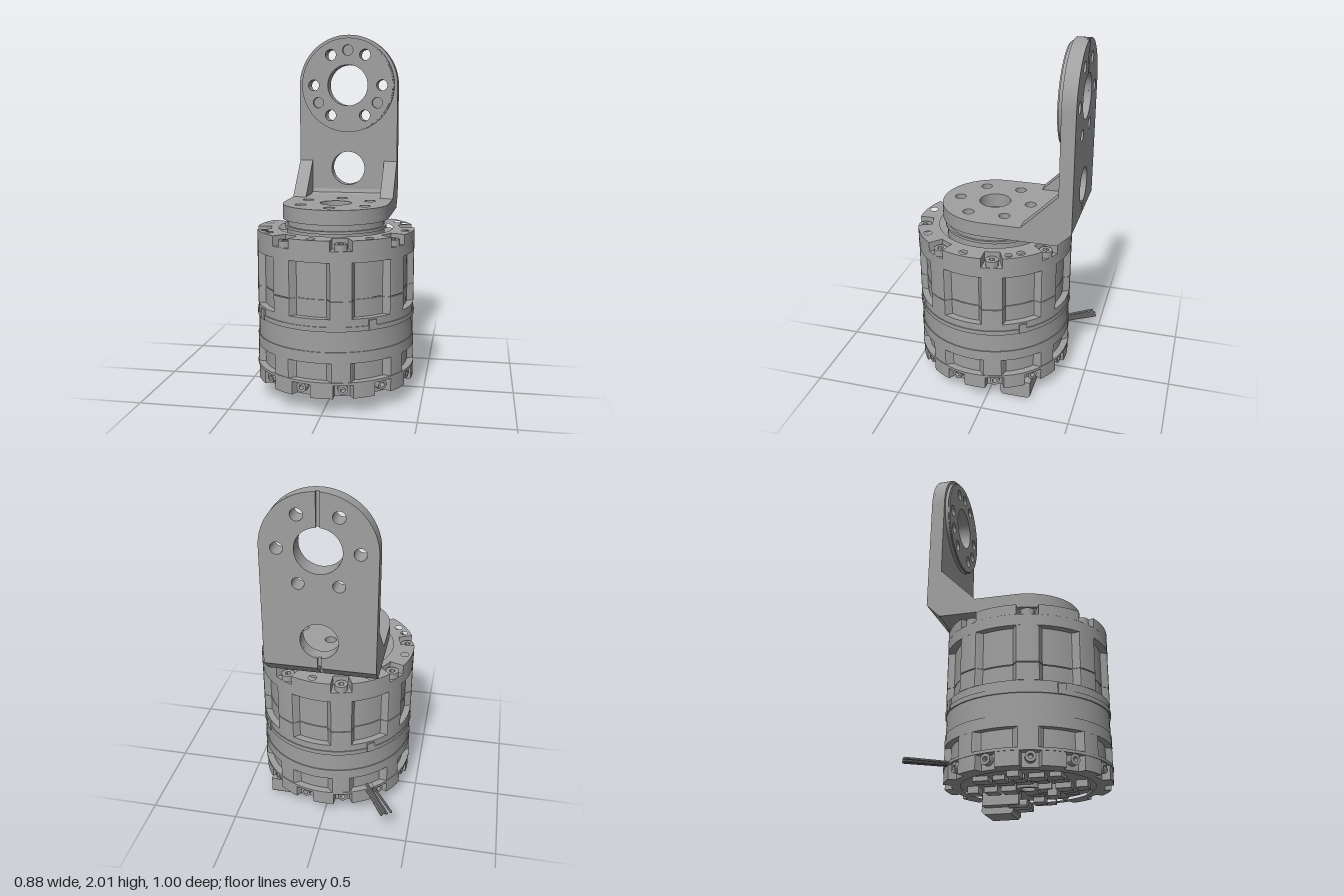
import * as THREE from 'three';
import { toCreasedNormals } from 'three/addons/utils/BufferGeometryUtils.js';

const metal = new THREE.MeshStandardMaterial({ color: 0xa0a0a0 });
metal.name = 'grey metal';

const D = Math.PI / 180;
const smooth = THREE.MathUtils.smoothstep;

function add(parent, name, geo) {
  const m = new THREE.Mesh(toCreasedNormals(geo, 0.5), metal);
  m.name = name;
  parent.add(m);
  return m;
}
const extrude = (shape, depth) =>
  new THREE.ExtrudeGeometry(shape, { depth, bevelEnabled: false, curveSegments: 24 });
// Horizontal slab: shape (x, -z) between two heights
const slab = (shape, y0, y1) => extrude(shape, y1 - y0).rotateX(-Math.PI / 2).translate(0, y0, 0);
// Side profile of [z, y] points, extruded from x0 to x1
const sideProfile = (pts, x0, x1) =>
  extrude(new THREE.Shape(pts.map(p => new THREE.Vector2(...p))), x1 - x0)
    .rotateY(-Math.PI / 2).translate(x1, 0, 0);

function cut(shape, x, y, r) {
  shape.holes.push(new THREE.Path().absarc(x, y, r, 0, Math.PI * 2, true));
  return shape;
}
function cutRing(shape, n, first, R, r, cx = 0, cy = 0) {
  for (let i = 0; i < n; i++) {
    const a = (first + i * 360 / n) * D;
    cut(shape, cx + R * Math.cos(a), cy - R * Math.sin(a), r);
  }
  return shape;
}
function disc(r, hole) {
  const s = new THREE.Shape().absarc(0, 0, r, 0, Math.PI * 2);
  return hole ? cut(s, 0, 0, hole) : s;
}
// Outline whose radius depends on the angle in degrees
function polar(radius, hole) {
  const pts = [];
  for (let a = 0; a < 360; a += 1) {
    const r = radius(a);
    pts.push(new THREE.Vector2(r * Math.cos(a * D), -r * Math.sin(a * D)));
  }
  return cut(new THREE.Shape(pts), 0, 0, hole);
}
// Angular distance to the nearest of evenly spaced directions
function away(a, first, step) {
  const t = (((a - first) % step) + step) % step;
  return Math.min(t, step - t);
}

function buildMotor() {
  const g = new THREE.Group();
  g.name = 'motor';
  g.position.z = 0.055;
  const BORE = 0.038, PANEL = 9, SCREW = 31.4;
  const panels = (depth, half) => a =>
    0.437 - depth * (1 - smooth(away(a, PANEL, 45), half - 2, half + 2));

  // Stacked housing sections
  const bay = panels(0.04, 13.5);
  add(g, 'lowerHousing', slab(polar(panels(0.035, 14), BORE), 0.17, 0.28));
  add(g, 'lowerBand', slab(disc(0.438, BORE), 0.28, 0.34));
  add(g, 'middleBand', slab(disc(0.433, BORE), 0.34, 0.45));
  add(g, 'ridgeBand', slab(disc(0.44, BORE), 0.45, 0.475));
  add(g, 'upperBand', slab(disc(0.435, BORE), 0.475, 0.515));
  add(g, 'ribbedHousingLower', slab(polar(bay, BORE), 0.515, 0.608));
  add(g, 'housingSeam', slab(polar(a => bay(a) - 0.006, BORE), 0.608, 0.613));
  add(g, 'ribbedHousingUpper', slab(polar(bay, BORE), 0.613, 0.81));
  add(g, 'topFlange', slab(disc(0.438, BORE), 0.81, 0.87));

  // Top ring with open screw pockets and drilled holes
  const top = polar(a => away(a, SCREW, 45) < 7 ? 0.358 : 0.438, 0.318);
  cutRing(top, 8, PANEL, 0.398, 0.023);
  cutRing(top, 2, 154, 0.402, 0.02);
  add(g, 'topRing', slab(top, 0.87, 0.925));

  for (let i = 0; i < 8; i++) {
    const a = (SCREW + i * 45) * D;
    const head = new THREE.Shape().absarc(0, 0, 0.035, 0, Math.PI * 2);
    const hex = [];
    for (let k = 0; k < 6; k++) hex.push(new THREE.Vector2(0.017 * Math.cos(k * 60 * D), 0.017 * Math.sin(k * 60 * D)));
    head.holes.push(new THREE.Path(hex));
    add(g, 'topScrew', slab(head, 0.87, 0.905)).position.set(0.402 * Math.cos(a), 0, 0.402 * Math.sin(a));
  }

  // Small catches on the ridge
  for (let i = 0; i < 4; i++) {
    const a = (PANEL + 45 + i * 90) * D;
    const m = add(g, 'catch', new THREE.BoxGeometry(0.045, 0.055, 0.02));
    m.position.set(0.433 * Math.cos(a), 0.478, 0.433 * Math.sin(a));
    m.rotation.y = Math.PI / 2 - a;
  }

  // Rotating output hub
  add(g, 'hubBase', slab(disc(0.272, BORE), 0.87, 0.93));
  add(g, 'hubRing', slab(disc(0.282, 0.2), 0.93, 0.945));
  add(g, 'hubTop', slab(cutRing(disc(0.27, 0.08), 6, 38, 0.203, 0.028), 0.93, 0.98));
  for (let i = 0; i < 6; i++) {
    const a = i * 60 * D;
    add(g, 'hubScrew', new THREE.CylinderGeometry(0.016, 0.016, 0.025, 16))
      .position.set(0.06 * Math.cos(a), 0.9425, 0.06 * Math.sin(a));
  }

  // Bottom ring: twelve tabs with radial screws between them
  add(g, 'bottomTabs', slab(polar(a => away(a, 0, 30) < 8.5 ? 0.437 : 0.395, 0.35), 0.09, 0.17));
  add(g, 'bottomRim', slab(disc(0.441, 0.34), 0.163, 0.178));
  for (let i = 0; i < 12; i++) {
    const a = (15 + i * 30) * D;
    const m = add(g, 'sideScrew', extrude(disc(0.027, 0.013), 0.04));
    m.position.set(0.39 * Math.cos(a), 0.137, 0.39 * Math.sin(a));
    m.rotation.y = Math.PI / 2 - a;
  }

  // Circuit board and its components
  add(g, 'circuitBoard', slab(disc(0.36, BORE), 0.105, 0.125));
  add(g, 'boardCollar', slab(disc(0.06, BORE), 0.08, 0.105));
  for (let i = -3; i <= 3; i++) for (let j = -3; j <= 3; j++) {
    const x = i * 0.095, z = j * 0.095;
    if (Math.hypot(x, z) > 0.3 || (i === 0 && j === 0) || (i > 0 && j < 0)) continue;
    const h = 0.012 + 0.012 * ((i * 2 + j * 3 + 20) % 3);
    add(g, 'boardChip', new THREE.BoxGeometry(0.08, h, 0.06 + 0.01 * ((i + j + 6) % 3)))
      .position.set(x, 0.105 - h / 2, z);
  }
  add(g, 'capacitor', new THREE.BoxGeometry(0.09, 0.06, 0.05)).position.set(0.02, 0.067, 0.13);

  // Power connector
  add(g, 'connectorBody', sideProfile(
    [[-0.3, 0.105], [-0.3, 0.015], [-0.285, 0], [-0.14, 0], [-0.125, 0.015], [-0.125, 0.105]], 0.17, 0.345));
  add(g, 'connectorStep', new THREE.BoxGeometry(0.06, 0.07, 0.2)).position.set(0.14, 0.07, -0.18);
  for (const x of [0.15, 0.21, 0.27]) {
    add(g, 'connectorPin', new THREE.CylinderGeometry(0.022, 0.022, 0.1, 16).rotateX(Math.PI / 2))
      .position.set(x, 0.045, -0.09);
  }
  return g;
}

function buildBracket() {
  const g = new THREE.Group();
  g.name = 'bracket';
  const W = 0.295, TOP = 1.71, LOW = 1.215, H = Math.PI / 2;

  // Round base flange running straight back
  const base = new THREE.Shape();
  base.moveTo(-W, 0.365);
  base.lineTo(-W, -0.055);
  base.absarc(0, -0.055, W, Math.PI, Math.PI * 2, false);
  base.lineTo(W, 0.365);
  cut(base, 0, -0.055, 0.088);
  cutRing(base, 6, 30, 0.205, 0.031, 0, -0.055);
  add(g, 'baseFlange', slab(base, 0.98, 1.06));

  // Bevelled back corner, split by the alignment slot
  for (const [a, b] of [[-W, -0.01], [0.01, W]]) {
    add(g, 'bevelCorner', sideProfile([[-0.365, 0.98], [-0.365, 1.06], [-0.44, 1.06], [-0.44, 1.055]], a, b));
  }

  // Upright plate
  const plate = new THREE.Shape();
  plate.moveTo(-W, 1.06);
  plate.lineTo(W, 1.06);
  plate.absarc(0, TOP, W, 0, Math.PI, false);
  cut(plate, 0, TOP, 0.12);
  cut(plate, 0, LOW, 0.1);
  cutRing(plate, 6, 0, 0.205, 0.032, 0, TOP);
  add(g, 'uprightPlate', extrude(plate, 0.06)).position.z = -0.425;

  // Back skin with slots opening into both large holes
  const skin = new THREE.Shape();
  skin.moveTo(0.01, 1.06);
  skin.lineTo(W, 1.06);
  skin.absarc(0, TOP, W, 0, H - 0.034, false);
  skin.absarc(0, TOP, 0.12, H - 0.083, H + 0.083, true);
  skin.absarc(0, TOP, W, H + 0.034, Math.PI, false);
  skin.lineTo(-W, 1.06);
  skin.lineTo(-0.01, 1.06);
  skin.absarc(0, LOW, 0.1, -H - 0.1, -H + 0.1, true);
  cutRing(skin, 6, 0, 0.205, 0.032, 0, TOP);
  add(g, 'slottedBack', extrude(skin, 0.015)).position.z = -0.44;

  // Stepped round boss with through and blind holes
  for (const [r, z, d] of [[0.277, -0.365, 0.018], [0.27, -0.347, 0.007]]) {
    const boss = disc(r, 0.12);
    cutRing(boss, 6, 0, 0.205, 0.032);
    cutRing(boss, 3, 30, 0.205, 0.031);
    add(g, 'mountingBoss', extrude(boss, d)).position.set(0, TOP, z);
  }

  // Side gussets and the inner corner fillet
  for (const x of [-W, 0.218]) {
    add(g, 'gusset', sideProfile([[-0.165, 1.06], [-0.365, 1.26], [-0.365, 1.06]], x, x + 0.077));
  }
  add(g, 'cornerFillet', sideProfile([[-0.335, 1.06], [-0.357, 1.068], [-0.365, 1.09], [-0.365, 1.06]], -0.218, 0.218));
  return g;
}

function buildCable() {
  const g = new THREE.Group();
  g.name = 'cable';
  // [start x, start z, end x, end z, height, radius]
  const wires = [
    [-0.22, -0.2, -0.405, -0.467, 0.172, 0.007],
    [-0.2, -0.2, -0.38, -0.478, 0.168, 0.009],
    [-0.19, -0.2, -0.367, -0.485, 0.178, 0.009],
    [-0.18, -0.2, -0.355, -0.492, 0.168, 0.009],
  ];
  for (const [x0, z0, x1, z1, y, r] of wires) {
    const path = new THREE.LineCurve3(new THREE.Vector3(x0, y, z0), new THREE.Vector3(x1, y, z1));
    const m = add(g, 'wire', new THREE.TubeGeometry(path, 1, r, 10));
    const end = add(g, 'wireEnd', new THREE.SphereGeometry(r, 10, 6));
    end.position.set(x1, y, z1);
  }
  return g;
}

export function createModel() {
  const model = new THREE.Group();
  model.name = 'motorWithBracket';
  model.add(buildMotor(), buildBracket(), buildCable());
  return model;
}
